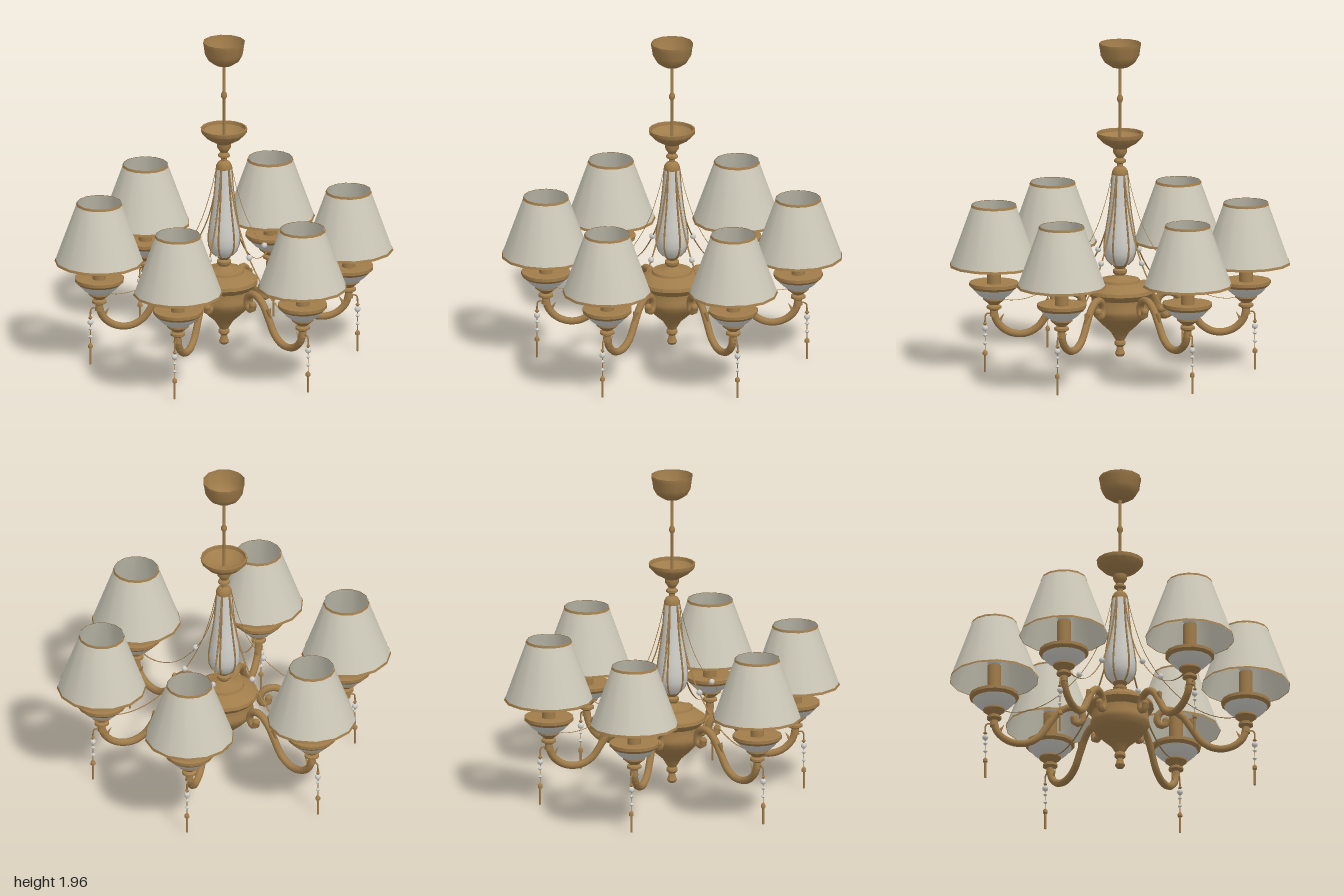
import * as THREE from 'three';
import { toCreasedNormals } from 'three/addons/utils/BufferGeometryUtils.js';

const mat = (name, color, side = THREE.FrontSide) => {
  const m = new THREE.MeshStandardMaterial({ color, side });
  m.name = name;
  return m;
};

export function createModel() {
  const model = new THREE.Group();
  model.name = 'chandelier';
  const brass = mat('brass', 0xa07c4a, THREE.DoubleSide);
  const fabric = mat('shadeFabric', 0xcdc9b9, THREE.DoubleSide);
  const porcelain = mat('porcelain', 0xcfcec8);

  const add = (parent, name, geo, material, x = 0, y = 0, z = 0) => {
    const m = new THREE.Mesh(geo, material);
    m.name = name;
    m.position.set(x, y, z);
    parent.add(m);
    return m;
  };
  // Turned part from [radius, height] pairs, listed bottom to top
  const turned = (pts, sides = 16) =>
    toCreasedNormals(new THREE.LatheGeometry(pts.map(p => new THREE.Vector2(...p)), sides), 0.7);
  // Tube along a path of [radial distance, height] pairs
  const tube = (pts, radius, steps, sides) => new THREE.TubeGeometry(
    new THREE.CatmullRomCurve3(pts.map(([x, y]) => new THREE.Vector3(x, y, 0))), steps, radius, sides);

  // Central column
  const column = new THREE.Group();
  column.name = 'column';
  model.add(column);
  add(column, 'hub', turned([
    [0, 0.085], [0.02, 0.09], [0.03, 0.105], [0.022, 0.125], [0.018, 0.145], [0.033, 0.16],
    [0.033, 0.175], [0.025, 0.185], [0.04, 0.21], [0.055, 0.235], [0.1, 0.275], [0.145, 0.32],
    [0.17, 0.355], [0.175, 0.38], [0.168, 0.4], [0.168, 0.44], [0.185, 0.455], [0.2, 0.475],
    [0.195, 0.495], [0.16, 0.52], [0.12, 0.535], [0.115, 0.55], [0.05, 0.56], [0.03, 0.575],
    [0.042, 0.59], [0.042, 0.605], [0.028, 0.615], [0.045, 0.635], [0, 0.64]], 18), brass);
  const vase = [[0.045, 0.635], [0.075, 0.665], [0.09, 0.71], [0.092, 0.76], [0.082, 0.84],
    [0.066, 0.94], [0.053, 1.05], [0.043, 1.18]];
  add(column, 'vase', turned(vase, 18), porcelain);
  for (let i = 0; i < 6; i++) {
    const rib = add(column, 'vaseRib', tube(vase, 0.006, 14, 5), brass);
    rib.rotation.y = (i + 0.5) * Math.PI / 3;
  }
  add(column, 'upperCup', turned([
    [0.046, 1.175], [0.046, 1.195], [0.035, 1.215], [0.018, 1.225], [0.018, 1.24], [0.034, 1.25],
    [0.034, 1.262], [0.02, 1.275], [0.03, 1.29], [0.04, 1.305], [0.04, 1.33], [0.065, 1.345],
    [0.1, 1.365], [0.135, 1.402], [0.137, 1.425], [0.128, 1.425], [0.125, 1.405], [0.09, 1.375],
    [0, 1.365]]), brass);
  add(column, 'rod', turned([
    [0.01, 1.36], [0.01, 1.605], [0.018, 1.62], [0.018, 1.635], [0.01, 1.65], [0.01, 1.83]], 8), brass);
  add(column, 'canopy', turned([
    [0.012, 1.812], [0.05, 1.818], [0.09, 1.845], [0.113, 1.885], [0.12, 1.935], [0.122, 1.94],
    [0.124, 1.96]], 12), brass);

  // Geometry shared by every arm
  const R = 0.738;
  const armGeo = tube([[R, 0.36], [0.722, 0.305], [0.675, 0.255], [0.61, 0.23], [0.54, 0.235],
    [0.475, 0.275], [0.42, 0.355], [0.365, 0.43], [0.305, 0.468], [0.25, 0.462], [0.218, 0.42],
    [0.228, 0.375], [0.262, 0.37], [0.27, 0.395]], 0.022, 40, 8);
  const saucerGeo = turned([
    [0, 0.33], [0.025, 0.335], [0.022, 0.37], [0.043, 0.382], [0.043, 0.395], [0.028, 0.405],
    [0.045, 0.42], [0.064, 0.435], [0.064, 0.447]]);
  const bowlGeo = turned([[0.06, 0.442], [0.09, 0.462], [0.115, 0.487], [0.13, 0.506]]);
  const brimGeo = turned([
    [0.128, 0.502], [0.145, 0.518], [0.145, 0.537], [0.13, 0.54], [0.05, 0.53], [0.04, 0.53],
    [0.04, 0.725], [0, 0.73]]);
  const shadeGeo = turned([[0.26, 0.637], [0.13, 1.0]], 14);
  const shadeRadius = y => 0.262 - (y - 0.637) * 0.13 / 0.363;
  const trimGeos = [0.635, 0.988].map(y =>
    turned([[shadeRadius(y), y], [shadeRadius(y + 0.014), y + 0.014]], 14));
  const bulbGeo = new THREE.SphereGeometry(0.048, 12, 8);
  bulbGeo.scale(1, 1.2, 1);
  // Garland is a flat ribbon, wide across the arm and thin along it
  const garlandGeo = tube([[0.045, 1.18], [0.08, 1.03], [0.135, 0.86], [0.2, 0.735], [0.27, 0.64],
    [0.36, 0.545], [0.46, 0.475], [0.56, 0.437], [0.65, 0.43], [0.7, 0.445]], 0.0015, 36, 6);
  garlandGeo.scale(1, 1, 3.5);
  const beadGeo = new THREE.SphereGeometry(0.018, 8, 6);
  const crystalGeo = new THREE.OctahedronGeometry(0.014);
  const hookGeo = tube([[0.745, 0.335], [0.765, 0.352], [0.785, 0.345], [0.79, 0.31], [0.79, 0.27]],
    0.005, 10, 5);
  const dropGeo = turned([
    [0, 0], [0.006, 0.002], [0.006, 0.1], [0.014, 0.104], [0.014, 0.12], [0.005, 0.132], [0, 0.134]], 8);
  const leafGeo = new THREE.ConeGeometry(0.018, 0.085, 5);

  for (let i = 0; i < 6; i++) {
    const arm = new THREE.Group();
    arm.name = 'arm';
    arm.rotation.y = -(Math.PI / 6 + i * Math.PI / 3 + 0.023);
    model.add(arm);
    add(arm, 'scrollArm', armGeo, brass);
    add(arm, 'scrollTip', beadGeo, brass, 0.27, 0.4).scale.setScalar(1.25);
    // Acanthus tips on the scroll
    add(arm, 'leaf', leafGeo, brass, 0.43, 0.375).rotation.z = -2.7;
    add(arm, 'leaf', leafGeo, brass, 0.7, 0.315).rotation.z = 0.55;

    // Lamp at the end of the arm
    const lamp = new THREE.Group();
    lamp.name = 'lamp';
    lamp.position.x = R;
    arm.add(lamp);
    add(lamp, 'socketStem', saucerGeo, brass);
    add(lamp, 'drip bowl', bowlGeo, porcelain);
    add(lamp, 'brimAndCandle', brimGeo, brass);
    add(lamp, 'bulb', bulbGeo, porcelain, 0, 0.775);
    add(lamp, 'shade', shadeGeo, fabric);
    trimGeos.forEach(g => add(lamp, 'shadeTrim', g, brass));

    // Garland with a bead
    add(arm, 'garland', garlandGeo, brass);
    add(arm, 'garlandBead', beadGeo, porcelain, 0.238, 0.685);

    // Hanging pendant
    add(arm, 'pendantHook', hookGeo, brass);
    add(arm, 'pendantBead', beadGeo, porcelain, 0.79, 0.262);
    add(arm, 'pendantCap', crystalGeo, brass, 0.79, 0.29);
    add(arm, 'pendantCrystal', crystalGeo, porcelain, 0.79, 0.222);
    add(arm, 'pendantCrystal', crystalGeo, porcelain, 0.79, 0.172);
    add(arm, 'pendantLink', new THREE.CylinderGeometry(0.002, 0.002, 0.15, 5), brass, 0.79, 0.195);
    add(arm, 'pendantDrop', dropGeo, brass, 0.79);
  }
  model.position.z = -0.004;
  return model;
}
